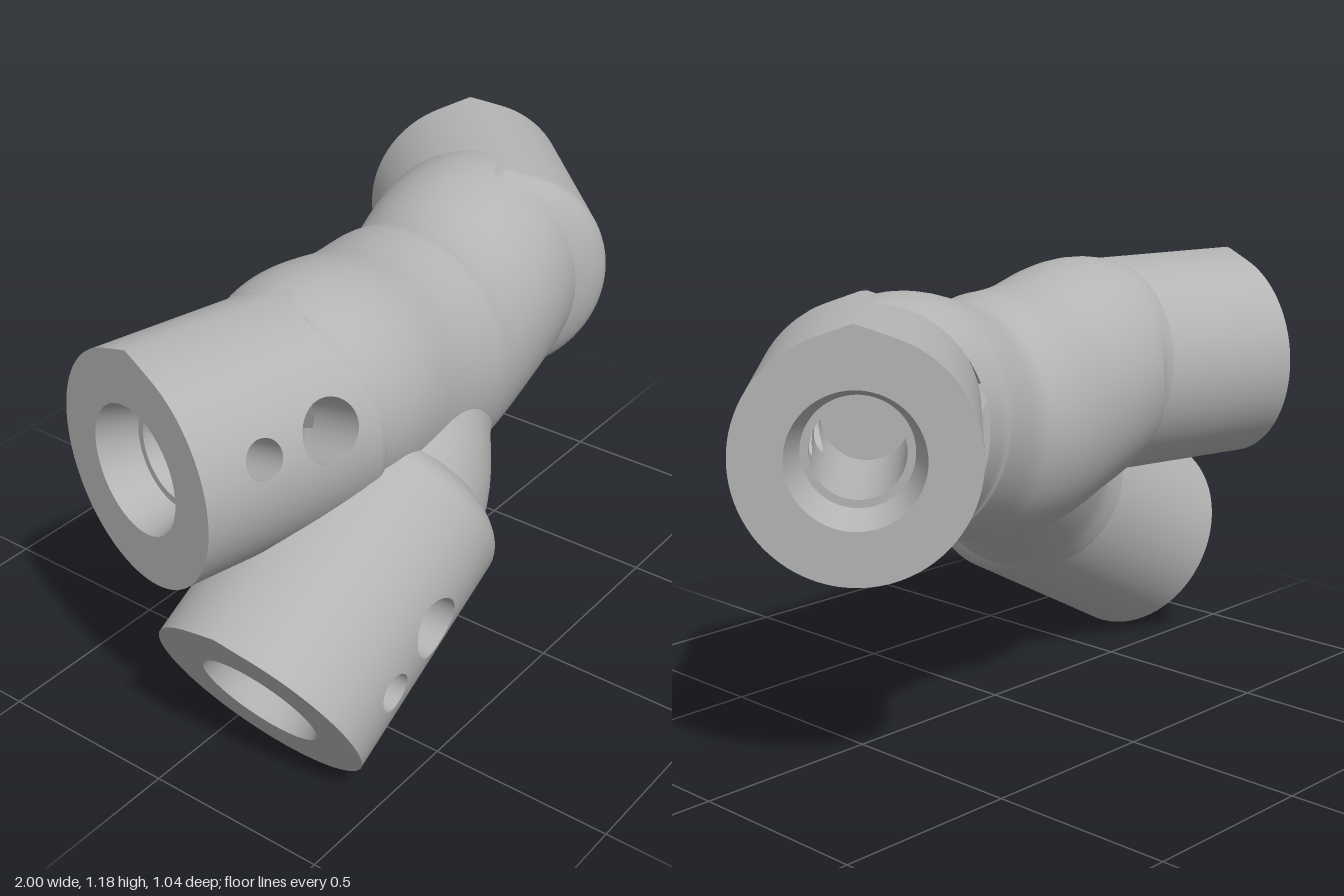
import * as THREE from 'three';
import { mergeGeometries, mergeVertices } from 'three/addons/utils/BufferGeometryUtils.js';

const TAU = Math.PI * 2;
const lerp = THREE.MathUtils.lerp;
const V3 = (x, y, z) => new THREE.Vector3(x, y, z);
const polar = (r, a, z) => V3(r * Math.cos(a), r * Math.sin(a), z);

// Surface patch over u, v in 0..1, facing along du x dv
function grid(fn, nu, nv, flip = false) {
  const pos = [], idx = [];
  for (let j = 0; j <= nv; j++)
    for (let i = 0; i <= nu; i++) pos.push(...fn(i / nu, j / nv).toArray());
  for (let j = 0; j < nv; j++)
    for (let i = 0; i < nu; i++) {
      const a = j * (nu + 1) + i, b = a + 1, c = a + nu + 1, d = c + 1;
      if (flip) idx.push(a, d, b, a, c, d);
      else idx.push(a, b, d, a, d, c);
    }
  const g = new THREE.BufferGeometry();
  g.setAttribute('position', new THREE.Float32BufferAttribute(pos, 3));
  g.setIndex(idx);
  const merged = mergeVertices(g, 1e-5);
  merged.computeVertexNormals();
  return merged;
}

// Round section with a small ridge on top, made by two tangents meeting at the tip
function ridged(r, tip, narrow) {
  const half = Math.acos(r / tip);
  return a => {
    const d = Math.abs(Math.atan2(Math.sin(a - Math.PI / 2), Math.cos(a - Math.PI / 2)));
    const base = d < half ? r / Math.cos(half - d) : r;
    return base * (1 - narrow * Math.cos(a) ** 2);
  };
}
const outerR = ridged(0.299, 0.316, 0.02);
const innerR = ridged(0.115, 0.15, 0);

// Screw holes: depth from the end face, radius, half length of the patch around each
const HOLES = [{ z: -0.17, r: 0.05, h: 0.07 }, { z: -0.36, r: 0.08, h: 0.12 }];
const STRIP = 0.85;

// Point on the rim of a screw hole
function rim(rFn, a0, hole, phi) {
  const a = a0 + Math.asin(hole.r * Math.cos(phi) / rFn(a0));
  return [a, hole.z + hole.r * Math.sin(phi)];
}

// Tube wall between two depths, pierced by the screw holes
function wall(rFn, a0, zLow, zHigh, inward) {
  const parts = [];
  const band = (angle, z0, z1, n) => {
    if (z1 - z0 < 1e-3) return;
    parts.push(grid((u, v) => polar(rFn(angle(u)), angle(u), lerp(z0, z1, v)), n, 4, inward));
  };
  // The strip bands share the point spacing of the hole patches
  const stripAngle = u => a0 + STRIP * Math.tan((u - 0.5) * Math.PI / 2);
  band(u => lerp(a0 + STRIP, a0 + TAU - STRIP, u), zLow, zHigh, 72);
  band(stripAngle, zLow, -0.48, 16);
  band(stripAngle, -0.10, zHigh, 16);
  for (const hole of HOLES)
    parts.push(grid((u, v) => {
      const phi = u * TAU, c = Math.cos(phi), s = Math.sin(phi);
      const m = Math.max(Math.abs(c), Math.abs(s));
      const [ra, rz] = rim(rFn, a0, hole, phi);
      const a = lerp(a0 + STRIP * c / m, ra, v);
      return polar(rFn(a), a, lerp(hole.z + hole.h * s / m, rz, v));
    }, 64, 8, inward));
  const g = mergeGeometries(parts);
  // Radial normals keep the joined pieces smooth
  const p = g.attributes.position, n = g.attributes.normal, k = inward ? -1 : 1;
  for (let i = 0; i < p.count; i++) {
    const l = Math.hypot(p.getX(i), p.getY(i)) * k;
    n.setXYZ(i, p.getX(i) / l, p.getY(i) / l, 0);
  }
  return g;
}

// Flat ring facing outward along the socket axis
const ring = (rOut, rIn, z) => grid((u, v) =>
  polar(lerp(rOut(u * TAU), rIn(u * TAU), v), u * TAU, z), 80, 2);

// Smooth body along a curve; rows are x, y, z, vertical radius, sideways radius
function sweep(rows) {
  const path = new THREE.CatmullRomCurve3(rows.map(r => V3(r[0], r[1], r[2])), false, 'catmullrom');
  const radii = new THREE.CatmullRomCurve3(rows.map(r => V3(r[3], r[4], 0)), false, 'catmullrom');
  return grid((u, v) => {
    const t = path.getTangent(v), r = radii.getPoint(v);
    const up = V3(0, 1, 0).addScaledVector(t, -t.y).normalize();
    const side = up.clone().cross(t);
    return path.getPoint(v).addScaledVector(side, r.y * Math.cos(u * TAU))
      .addScaledVector(up, r.x * Math.sin(u * TAU));
  }, 72, 40);
}

export function createModel() {
  const model = new THREE.Group();
  model.name = 'threeWayConnector';
  const grey = new THREE.MeshStandardMaterial({ color: 0xb4b4b4, side: THREE.DoubleSide });
  grey.name = 'grey plastic';
  const add = (parent, name, geometry) => {
    const mesh = new THREE.Mesh(geometry, grey);
    mesh.name = name;
    parent.add(mesh);
  };

  // One socket: local z runs outward along the axis, with the end face at z = 0
  function socket(name, centre, axis, a0, length, dome) {
    const g = new THREE.Group();
    g.name = name;
    const w = V3(...axis).normalize();
    const up = V3(0, 1, 0).addScaledVector(w, -w.y).normalize();
    g.quaternion.setFromRotationMatrix(new THREE.Matrix4().makeBasis(up.clone().cross(w), up, w));
    g.position.set(...centre);
    const mouth = () => 0.165, throat = () => 0.135, zero = () => 0;
    add(g, 'outerWall', wall(outerR, a0, -length, 0, false));
    add(g, 'roundedShoulder', grid((u, v) => {
      const b = v * Math.PI / 2, a = u * TAU;
      return polar(outerR(a) * Math.sin(b), a, -length - dome * Math.cos(b));
    }, 72, 16));
    add(g, 'endFace', ring(outerR, mouth, 0));
    add(g, 'taperedMouth', grid((u, v) =>
      polar(lerp(mouth(), throat(), v), u * TAU, -0.1 * v), 72, 2));
    add(g, 'innerStep', ring(throat, innerR, -0.1));
    add(g, 'bore', wall(innerR, a0, -0.5, -0.1, true));
    add(g, 'boreFloor', ring(innerR, zero, -0.5));
    for (const hole of HOLES)
      add(g, 'screwHole', grid((u, v) => {
        const [ao, zo] = rim(outerR, a0, hole, u * TAU);
        const [ai, zi] = rim(innerR, a0, hole, u * TAU);
        return polar(outerR(ao), ao, zo).lerp(polar(innerR(ai), ai, zi), v);
      }, 64, 2));
    model.add(g);
  }

  socket('leftSocket', [0.79, 0.863, -0.32], [1, 0, -1], Math.PI - 0.24, 0.53, 0.12);
  socket('rightSocket', [-0.935, 0.863, -0.06], [-0.974, 0, -0.226], 0.32, 0.5, 0.1);
  socket('lowerSocket', [-0.855, 0.267, 0.22], [-0.881, -0.473, 0], -0.08, 0.61, 0.13);

  // Main body between the two upper sockets
  add(model, 'trunk', sweep([
    [-0.50, 0.868, 0.036, 0.29, 0.285],
    [-0.39, 0.876, 0.047, 0.312, 0.311],
    [-0.20, 0.83, 0.03, 0.32, 0.312],
    [0.00, 0.80, 0.01, 0.335, 0.322],
    [0.18, 0.815, 0.00, 0.313, 0.305],
    [0.38, 0.857, -0.04, 0.322, 0.310],
    [0.51, 0.865, -0.095, 0.302, 0.292],
  ]));

  // Blend from the lower socket up into the body
  add(model, 'lowerBlend', sweep([
    [-0.42, 0.50, 0.20, 0.28, 0.27],
    [-0.28, 0.585, 0.165, 0.287, 0.272],
    [-0.13, 0.68, 0.08, 0.28, 0.262],
    [0.05, 0.76, 0.02, 0.28, 0.26],
    [0.20, 0.80, 0.00, 0.26, 0.25],
  ]));

  return model;
}
